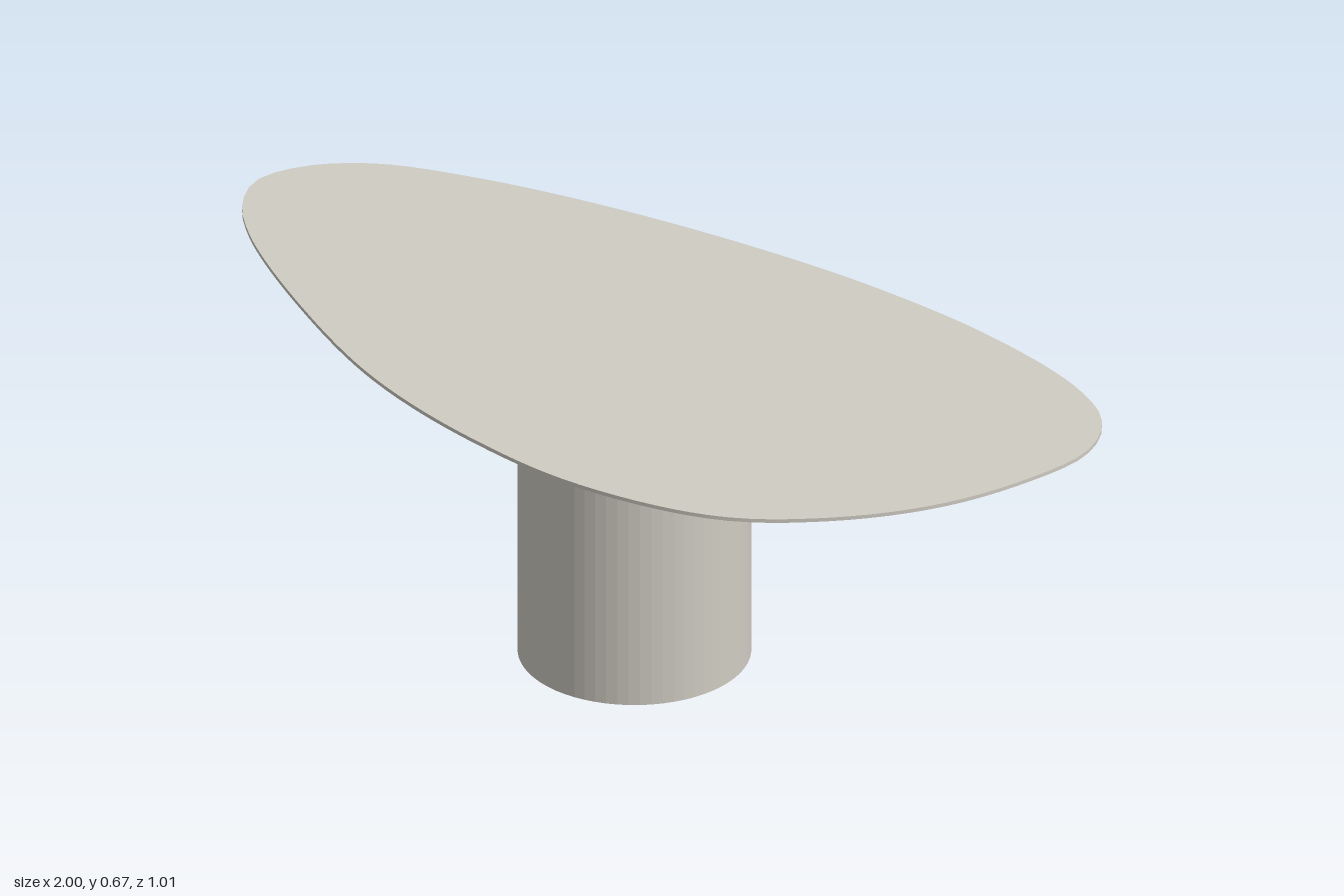
import * as THREE from 'three';
import { toCreasedNormals } from 'three/addons/utils/BufferGeometryUtils.js';

const SEGMENTS = 120;
const TOP = 0.67, RIM = 0.662, UNDER = 0.63, BEVEL = 0.08;

// Outline of the asymmetric pebble top as [x, z], clockwise from above
const OUTLINE = [
  [-1, -0.14], [-0.957, -0.238], [-0.85, -0.33], [-0.66, -0.4], [-0.4, -0.457],
  [-0.07, -0.497], [0.25, -0.508], [0.57, -0.48], [0.83, -0.41], [0.95, -0.33],
  [1, -0.21], [0.97, -0.035], [0.89, 0.15], [0.75, 0.32], [0.57, 0.445],
  [0.27, 0.503], [-0.02, 0.475], [-0.32, 0.39], [-0.61, 0.24], [-0.88, 0.055], [-0.973, -0.05],
];

// Slab made of rings: flat top, thin upright rim, wide undercut bevel, flat underside
function slabGeometry() {
  const curve = new THREE.CatmullRomCurve3(
    OUTLINE.map(([x, z]) => new THREE.Vector3(x, 0, z)), true, 'centripetal');
  const ring = (y, inset) => Array.from({ length: SEGMENTS }, (_, i) => {
    const p = curve.getPointAt(i / SEGMENTS), t = curve.getTangentAt(i / SEGMENTS);
    return [p.x - t.z * inset, y, p.z + t.x * inset];
  });
  const rings = [ring(TOP, 0), ring(RIM, 0), ring(UNDER, BEVEL)];
  const positions = [];
  const face = (...corners) => corners.forEach((c) => positions.push(...c));
  for (let i = 0; i < SEGMENTS; i++) {
    const j = (i + 1) % SEGMENTS;
    face([0.1, TOP, 0], rings[0][j], rings[0][i]);
    face([0.1, UNDER, 0], rings[2][i], rings[2][j]);
    for (let k = 0; k < 2; k++) {
      const upper = rings[k], lower = rings[k + 1];
      face(lower[j], lower[i], upper[i]);
      face(lower[j], upper[i], upper[j]);
    }
  }
  const geometry = new THREE.BufferGeometry();
  geometry.setAttribute('position', new THREE.Float32BufferAttribute(positions, 3));
  return toCreasedNormals(geometry, 0.4);
}

export function createModel() {
  const model = new THREE.Group();
  model.name = 'table';
  const stone = new THREE.MeshStandardMaterial({ color: 0xd0ccc3 });
  stone.name = 'warm stone';

  const top = new THREE.Mesh(slabGeometry(), stone);
  top.name = 'tableTop';
  model.add(top);

  // Finely faceted drum pedestal
  const drum = new THREE.CylinderGeometry(0.233, 0.233, UNDER, 64).toNonIndexed();
  drum.computeVertexNormals();
  const pedestal = new THREE.Mesh(drum, stone);
  pedestal.name = 'pedestal';
  pedestal.position.set(0.035, UNDER / 2, 0);
  model.add(pedestal);

  return model;
}
